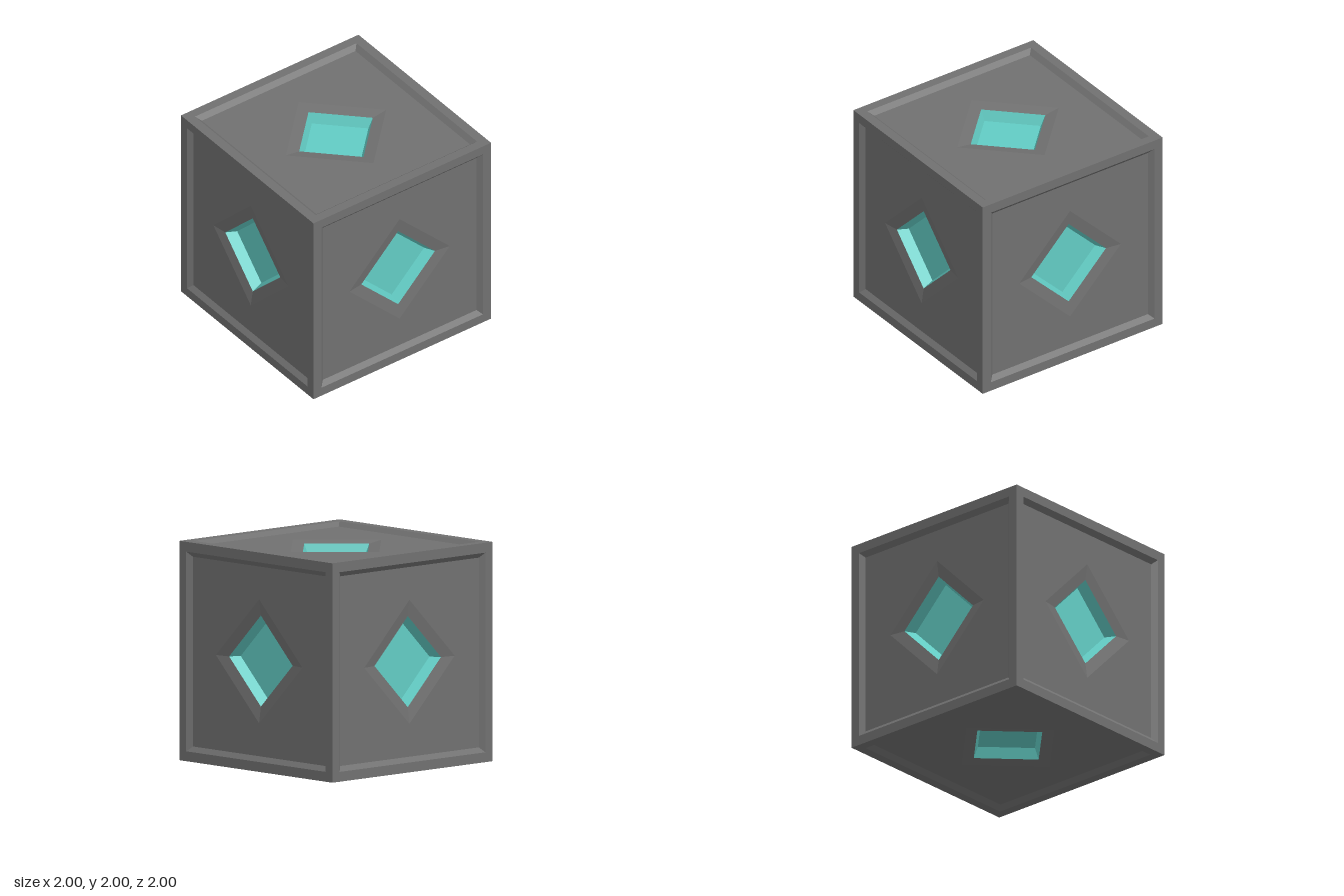
import * as THREE from 'three';

// Ring of 8 points at a depth below the cube face: even points lie on the axes,
// odd points on the diagonals (square corners or diamond edge midpoints).
const ring = (size, depth, diamond = false) =>
  Array.from({ length: 8 }, (_, k) => {
    const a = (k * Math.PI) / 4;
    const r = k % 2 ? size * (diamond ? Math.SQRT1_2 : Math.SQRT2) : size;
    return [r * Math.cos(a), r * Math.sin(a), 1 - depth];
  });

// Joins successive rings from the outside in, optionally closing the last one.
function loft(rings, closed = false) {
  const pos = [];
  for (let i = 0; i < rings.length - 1; i++) {
    const a = rings[i], b = rings[i + 1];
    for (let k = 0; k < 8; k++) {
      const n = (k + 1) % 8;
      pos.push(...a[k], ...a[n], ...b[n], ...a[k], ...b[n], ...b[k]);
    }
  }
  if (closed) {
    const last = rings[rings.length - 1];
    const centre = [0, 0, last[0][2]];
    for (let k = 0; k < 8; k++) pos.push(...last[k], ...last[(k + 1) % 8], ...centre);
  }
  const geo = new THREE.BufferGeometry();
  geo.setAttribute('position', new THREE.Float32BufferAttribute(pos, 3));
  geo.computeVertexNormals();
  return geo;
}

export function createModel() {
  const model = new THREE.Group();
  model.name = 'panelledCube';

  const shellMat = new THREE.MeshStandardMaterial({ color: 0x707070, flatShading: true });
  const gemMat = new THREE.MeshStandardMaterial({ color: 0x62ccc4, flatShading: true });

  const rim = ring(0.415, 0.0625, true);
  const parts = {
    // Raised border and its bevel down to the panel
    frame: [loft([ring(1, 0), ring(0.91, 0), ring(0.865, 0.04)]), shellMat],
    // Flat panel with a shallow diamond slope in the middle
    panel: [loft([ring(0.865, 0.04), ring(0.565, 0.04, true), rim]), shellMat],
    // Coloured diamond recess with sloping walls and a flat floor
    diamondRecess: [loft([rim, ring(0.365, 0.16, true)], true), gemMat],
  };

  // The same side on all six directions
  const q = Math.PI / 2;
  const sides = {
    front: [0, 0], left: [0, q], back: [0, 2 * q], right: [0, -q], top: [-q, 0], bottom: [q, 0],
  };
  for (const [name, [rx, ry]] of Object.entries(sides)) {
    const side = new THREE.Group();
    side.name = `${name}Side`;
    for (const [part, [geo, mat]] of Object.entries(parts)) {
      const mesh = new THREE.Mesh(geo, mat);
      mesh.name = part;
      side.add(mesh);
    }
    side.rotation.set(rx, ry, 0);
    side.position.y = 1;
    model.add(side);
  }
  return model;
}
